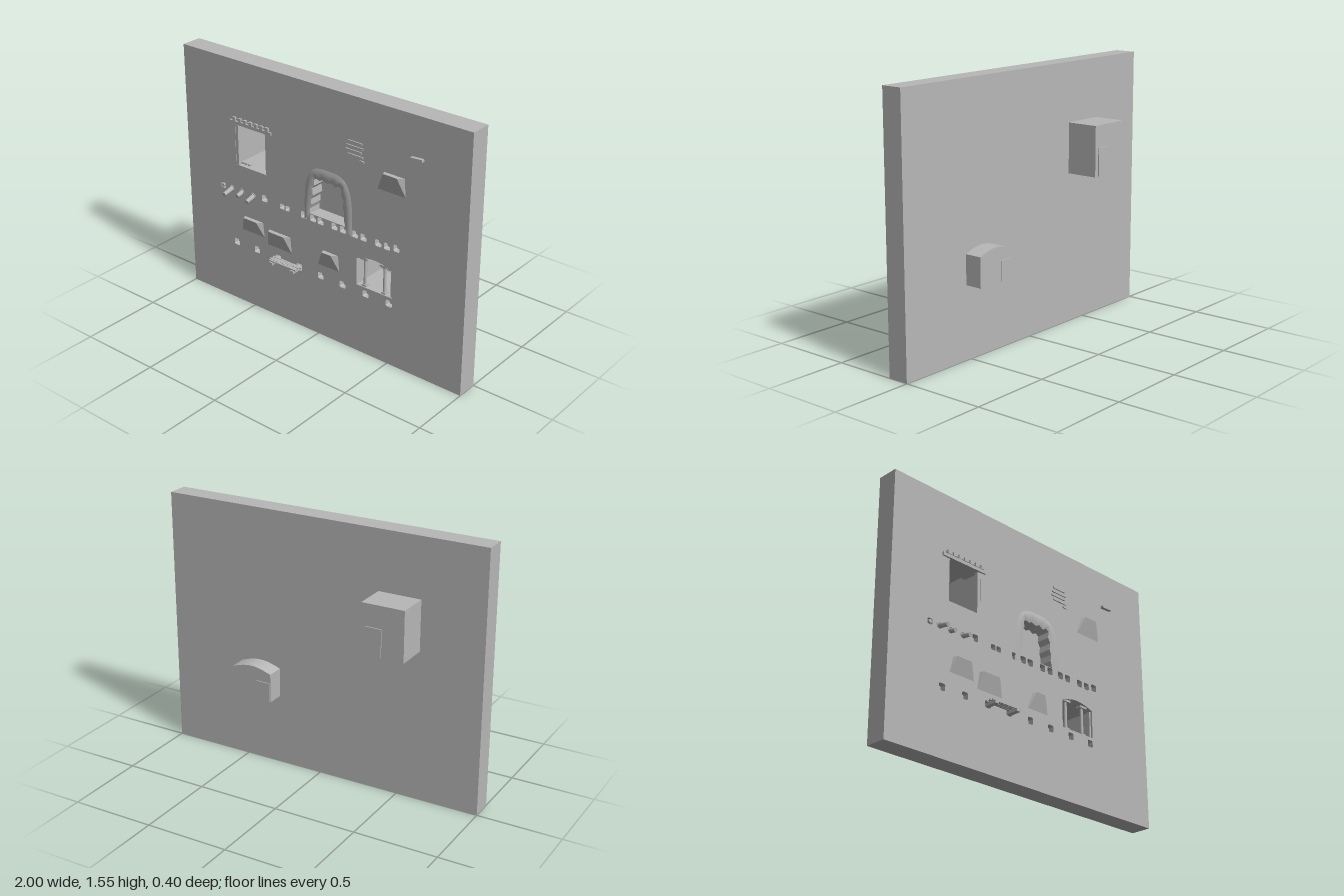
import * as THREE from 'three';
import { ConvexGeometry } from 'three/addons/geometries/ConvexGeometry.js';

const FRONT = 0.127; // z of the cliff face

export function createModel() {
  const model = new THREE.Group();
  const stone = new THREE.MeshStandardMaterial({ color: 0xb8b8b8, side: THREE.DoubleSide });
  stone.name = 'grey stone';

  const add = (name, geometry, x = 0, y = 0, z = 0, parent = model) => {
    const mesh = new THREE.Mesh(geometry, stone);
    mesh.name = name;
    mesh.position.set(x, y, z);
    parent.add(mesh);
    return mesh;
  };
  // Box given by its limits
  const box = (name, x0, x1, y0, y1, z0, z1) =>
    add(name, new THREE.BoxGeometry(x1 - x0, y1 - y0, z1 - z0), (x0 + x1) / 2, (y0 + y1) / 2, (z0 + z1) / 2);
  const outline = pts => pts.map(p => new THREE.Vector2(p[0], p[1]));
  const rect = (x0, x1, y0, y1) => outline([[x0, y0], [x1, y0], [x1, y1], [x0, y1]]);
  const plate = (name, pts, holes, z0, z1) => {
    const shape = new THREE.Shape(pts);
    shape.holes = holes.map(h => new THREE.Path(h));
    return add(name, new THREE.ExtrudeGeometry(shape, { depth: z1 - z0, bevelEnabled: false }), 0, 0, z0);
  };
  // Flat floor with a low vault above
  const vault = (x0, x1, y0, spring, top) => {
    const pts = [[x0, y0], [x1, y0]];
    for (let i = 0; i <= 10; i++) {
      const t = i / 10;
      pts.push([x1 + (x0 - x1) * t, spring + (top - spring) * Math.sin(Math.PI * t)]);
    }
    return outline(pts);
  };
  // Square with cut corners
  const socket = (x, y, s) => {
    const a = s / 2, b = a * 0.7;
    return outline([[-b, -a], [b, -a], [a, -b], [a, b], [b, a], [-b, a], [-a, b], [-a, -b]]
      .map(([u, v]) => [x + u, y + v]));
  };

  // Rough outline of the central cave, left foot to right foot
  const cavePts = [[-0.055, 0.768], [-0.057, 0.8], [-0.047, 0.825], [-0.05, 0.86], [-0.035, 0.885],
    [-0.04, 0.93], [-0.025, 0.95], [-0.028, 0.985], [-0.012, 1.0], [0.015, 0.99], [0.03, 1.003],
    [0.07, 0.992], [0.1, 1.004], [0.125, 0.987], [0.15, 1.002], [0.172, 0.988], [0.168, 0.95],
    [0.185, 0.92], [0.18, 0.88], [0.19, 0.85], [0.187, 0.81], [0.197, 0.768]];
  const cave = outline(cavePts);

  // Beam sockets in two rows: x, y, size
  const sockets = [];
  [-0.4, -0.265, -0.225, -0.103, -0.035, 0.02, 0.12, 0.18, 0.265, 0.325, 0.426, 0.485, 0.549].forEach((x, i) =>
    sockets.push([x, i === 0 || i === 12 ? 0.752 : 0.743, i === 1 || i === 2 ? 0.033 : 0.042]));
  [-0.629, -0.468, -0.302, -0.142, 0.02, 0.18, 0.345, 0.506].forEach(x => sockets.push([x, 0.393, 0.042]));
  sockets.push([-0.725, 0.74, 0.034]);

  // Cliff slab in three layers, so that recesses keep a closed back
  const face = rect(-1, 1, 0, 1.555);
  const rooms = [rect(-0.615, -0.367, 0.907, 1.17), vault(0.279, 0.527, 0.433, 0.6, 0.627)];
  plate('cliffBack', face, rooms, 0, 0.045);
  plate('cliffMiddle', face, [...rooms, cave], 0.045, 0.092);
  plate('cliffFront', face, [...rooms, cave, ...sockets.map(s => socket(...s))], 0.092, FRONT);

  // Rock swelling around the cave mouth
  const n = cavePts.length, pos = [], index = [];
  const rows = [[0, 0.128], [0.35, 0.134], [0.7, 0.133], [1, 0.1265]];
  rows.forEach(([t, z]) => cavePts.forEach(([x, y], i) => {
    const a = Math.PI * (1 - i / (n - 1));
    const ox = 0.075 + Math.sign(Math.cos(a)) * 0.172 * Math.pow(Math.abs(Math.cos(a)), 0.6);
    const oy = 0.715 + 0.355 * Math.pow(Math.sin(a), 0.5);
    pos.push(x + (ox - x) * t, y + (Math.max(oy, 0.715) - y) * t, z);
  }));
  for (let r = 0; r < rows.length - 1; r++) for (let i = 0; i < n - 1; i++) {
    const a = r * n + i, b = a + n;
    index.push(a, a + 1, b, a + 1, b + 1, b);
  }
  const swell = new THREE.BufferGeometry();
  swell.setAttribute('position', new THREE.Float32BufferAttribute(pos, 3));
  swell.setIndex(index);
  swell.computeVertexNormals();
  add('caveRim', swell);

  // Room shells behind the cliff, each with a doorway in its back wall
  const room = (name, outer, inner, back, door) => {
    plate(name + 'Walls', outer, [inner], back, 0);
    plate(name + 'BackWall', outer, [rect(...door)], back, back + 0.003);
    box(name + 'Door', door[0], door[1], door[2], door[3], back - 0.006, back - 0.003);
    plate(name + 'DoorFrame', rect(door[0] - 0.003, door[1] + 0.003, door[2] - 0.003, door[3] + 0.003),
      [rect(...door)], back - 0.006, back);
  };
  room('squareRoom', rect(-0.62, -0.362, 0.902, 1.202), rect(-0.615, -0.367, 0.907, 1.197), -0.193,
    [-0.483, -0.392, 0.908, 1.068]);
  room('vaultedRoom', vault(0.274, 0.532, 0.428, 0.602, 0.632), vault(0.279, 0.527, 0.433, 0.6, 0.627), -0.104,
    [0.284, 0.364, 0.434, 0.545]);

  // Timber porch of the square room
  [-0.605, -0.377].forEach(x => {
    box('porchPost', x - 0.01, x + 0.01, 0.905, 1.165, 0.105, 0.125);
  });
  box('porchLintel', -0.65, -0.335, 1.165, 1.185, 0.1, 0.137);
  box('porchRoofBeam', -0.625, -0.355, 1.192, 1.2, 0.12, 0.133);
  for (let i = 0; i < 7; i++) {
    const x = -0.61 + i * 0.041;
    box('roofBeamEnd', x - 0.01, x + 0.01, 1.185, 1.208, 0.11, 0.14);
  }
  box('porchStool', -0.46, -0.425, 0.907, 0.95, -0.15, -0.12);
  [-0.59, -0.565, -0.54].forEach(x => box('floorStone', x - 0.009, x + 0.009, 0.907, 0.917, 0.08, 0.1));

  // Columns of the vaulted room
  [0.325, 0.46].forEach(x => {
    add('column', new THREE.CylinderGeometry(0.009, 0.01, 0.165, 12), x, 0.517, 0.105);
    box('columnCapital', x - 0.026, x + 0.026, 0.6, 0.613, 0.09, 0.122);
    box('columnBase', x - 0.015, x + 0.015, 0.433, 0.443, 0.09, 0.12);
  });
  box('doorJamb', 0.511, 0.522, 0.433, 0.595, 0.1, 0.12);

  // Rock spurs: left top, left bottom, right, bottom y, top y
  [[0.455, 0.415, 0.6, 1.07, 1.18], [-0.56, -0.58, -0.407, 0.495, 0.588],
    [-0.368, -0.38, -0.198, 0.46, 0.562], [0.035, 0, 0.155, 0.465, 0.565]].forEach(([tl, bl, r, y0, y1]) => {
    const v = (x, y, z) => new THREE.Vector3(x, y, z);
    add('rockSpur', new ConvexGeometry([
      v(tl, y1, 0.12), v(r, y1, 0.12), v(bl, y0, 0.12), v(r, y0, 0.12),
      v(bl, y0, FRONT), v(r, y0, FRONT), v(tl + 0.012, y1, 0.153), v(r - 0.042, y1, 0.153)]));
  });

  // Tilted log brackets: x, reach
  [[-0.658, 0.196], [-0.58, 0.168], [-0.49, 0.186]].forEach(([x, z]) => {
    const length = z - 0.1;
    const log = add('logBracket', new THREE.CylinderGeometry(0.013, 0.017, length, 8), x, 0.733, 0.1 + length / 2);
    log.rotation.x = Math.PI / 2 + 0.22;
    add('logCollar', new THREE.TorusGeometry(0.017, 0.004, 6, 10), x, 0.74, FRONT);
  });
  add('logStub', new THREE.CylinderGeometry(0.011, 0.011, 0.04, 8), -0.725, 0.74, 0.112).rotation.x = Math.PI / 2;

  // Plank shelf resting on two beams
  [-0.302, -0.142].forEach(x => box('shelfBeam', x - 0.014, x + 0.014, 0.38, 0.396, 0.095, 0.198));
  [0.142, 0.156, 0.17, 0.184].forEach((z, i) => {
    const plank = box('shelfPlank', -0.33 + (i % 2) * 0.008, -0.115 - (i % 3) * 0.005, 0.396, 0.405, z - 0.006, z + 0.006);
    plank.rotation.z = (i % 2 ? 1 : -1) * 0.008;
  });

  // Weathered ledges and a projecting slab
  [[0.215, 0.31, 1.295], [0.205, 0.318, 1.268], [0.2, 0.308, 1.243], [0.212, 0.318, 1.217], [0.295, 0.325, 1.194]]
    .forEach(([x0, x1, y]) => box('weatheredLedge', x0, x1, y - 0.005, y + 0.005, 0.12, 0.134));
  const slab = box('projectingSlab', 0.635, 0.71, 1.31, 1.325, 0.11, 0.147);
  slab.rotation.z = 0.06;

  return model;
}
